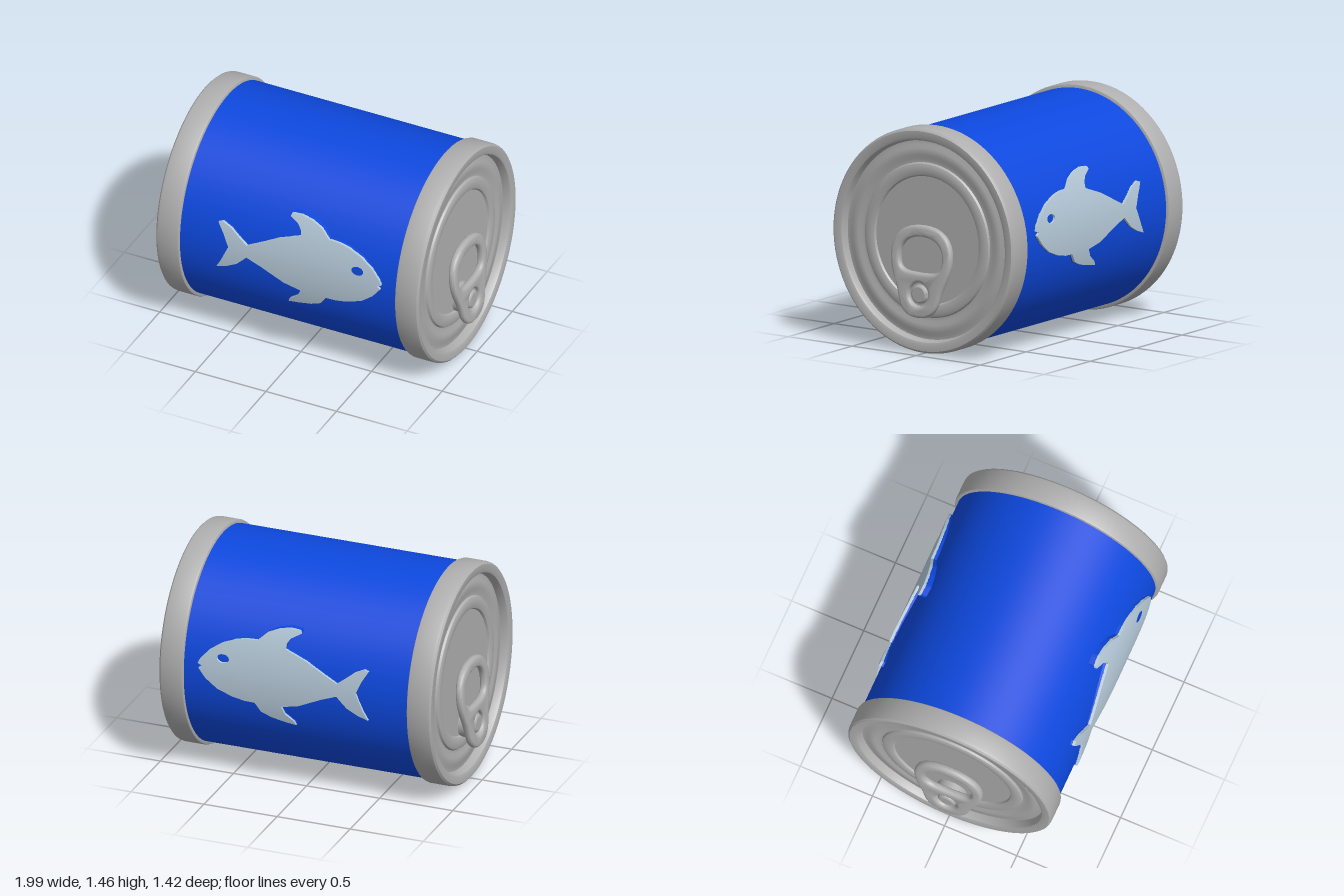
import * as THREE from 'three';
import { toCreasedNormals } from 'three/addons/utils/BufferGeometryUtils.js';

const CENTER_Y = 0.727; // height of the can's axis
const SQUASH = 0.972;   // the can is slightly narrower in z

const metal = new THREE.MeshStandardMaterial({ color: 0xb0afb0 });
metal.name = 'tin grey';
const label = new THREE.MeshStandardMaterial({ color: 0x0d48de });
label.name = 'label blue';
const silver = new THREE.MeshStandardMaterial({ color: 0xb5c9d8 });
silver.name = 'fish silver';

function makeMesh(name, geometry, material) {
  const mesh = new THREE.Mesh(geometry, material);
  mesh.name = name;
  return mesh;
}

const vectors = (list) => list.map(([a, b]) => new THREE.Vector2(a, b));

// Lathe whose axis lies along x; profile is [radius, x]
function latheX(profile, segments = 96) {
  const g = new THREE.LatheGeometry(vectors(profile), segments);
  g.rotateZ(-Math.PI / 2);
  return toCreasedNormals(g, 0.55);
}

// Closed symmetric outline from the right half, bottom to top
function symmetricPoints(half) {
  const right = half.getPoints(8);
  const left = right.slice(1, -1).reverse().map((p) => new THREE.Vector2(-p.x, p.y));
  return [...right, ...left];
}

// Pull tab, leaning away from the lid at its lower end
function tabGeometry() {
  const outer = new THREE.Path();
  outer.moveTo(0, 0.24);
  outer.bezierCurveTo(0.09, 0.24, 0.14, 0.28, 0.158, 0.37);
  outer.bezierCurveTo(0.18, 0.46, 0.235, 0.53, 0.235, 0.63);
  outer.bezierCurveTo(0.235, 0.76, 0.15, 0.83, 0, 0.83);
  const finger = new THREE.Path();
  finger.moveTo(0, 0.527);
  finger.lineTo(0.08, 0.53);
  finger.bezierCurveTo(0.14, 0.535, 0.165, 0.56, 0.165, 0.62);
  finger.bezierCurveTo(0.165, 0.71, 0.1, 0.757, 0, 0.757);

  const shape = new THREE.Shape(symmetricPoints(outer));
  shape.holes.push(new THREE.Path(symmetricPoints(finger)));
  shape.holes.push(new THREE.Path().absarc(0, 0.39, 0.075, 0, Math.PI * 2, true));
  const g = new THREE.ExtrudeGeometry(shape, {
    depth: 0.012, bevelThickness: 0.019, bevelSize: 0.022, bevelOffset: -0.022,
    bevelSegments: 4, curveSegments: 20,
  });
  g.rotateY(Math.PI / 2);
  const p = g.attributes.position;
  for (let i = 0; i < p.count; i++) {
    p.setX(i, p.getX(i) + 0.939 + (0.53 - p.getY(i)) * 0.1);
  }
  return toCreasedNormals(g, 0.8);
}

// Rim, stepped lid and pull tab for the +x end
function canEnd(name) {
  const end = new THREE.Group();
  end.name = name;

  const rim = latheX([
    [0.69, 0.765], [0.718, 0.765], [0.725, 0.769], [0.728, 0.778], [0.728, 0.9],
    [0.724, 0.918], [0.712, 0.929], [0.672, 0.929], [0.656, 0.922], [0.648, 0.905], [0.643, 0.87],
  ]);
  const lid = latheX([
    [0.646, 0.872], [0.62, 0.872], [0.595, 0.884], [0.55, 0.884], [0.525, 0.874],
    [0.502, 0.874], [0.494, 0.887], [0.478, 0.893], [0.438, 0.893], [0.42, 0.887],
    [0.412, 0.874], [0, 0.874],
  ]);
  for (const [part, g] of [['rim', rim], ['lid', lid]]) {
    g.scale(1, 1, SQUASH);
    g.translate(0, CENTER_Y, 0);
    end.add(makeMesh(part, g, metal));
  }

  end.add(makeMesh('pullTab', tabGeometry(), metal));

  // Dished seat and button holding the tab down
  const rivet = latheX([
    [0.1, 0.87], [0.1, 0.955], [0.062, 0.955], [0.058, 0.97], [0.048, 0.977], [0, 0.977],
  ], 40);
  rivet.translate(0, 0.39, 0);
  end.add(makeMesh('rivet', rivet, metal));
  return end;
}

// Fish outline, clockwise from the tail notch
const FISH = [
  [-0.415, 0.80], [-0.45, 0.88], [-0.495, 0.955], [-0.465, 0.965], [-0.40, 0.935],
  [-0.345, 0.89], [-0.285, 0.845], [-0.20, 0.888], [-0.07, 0.955], [0.08, 1.01],
  [0.075, 1.045], [0.05, 1.08], [-0.012, 1.115], [-0.005, 1.132], [0.06, 1.137],
  [0.14, 1.122], [0.215, 1.09], [0.275, 1.035], [0.345, 1.033], [0.42, 1.018],
  [0.515, 0.98], [0.595, 0.925], [0.65, 0.862], [0.665, 0.83], [0.635, 0.817],
  [0.66, 0.80], [0.61, 0.737], [0.53, 0.675], [0.425, 0.635], [0.345, 0.62],
  [0.275, 0.618], [0.235, 0.56], [0.165, 0.53], [0.07, 0.51], [0.0, 0.50],
  [0.01, 0.525], [0.07, 0.57], [0.095, 0.62], [-0.02, 0.645], [-0.18, 0.72],
  [-0.285, 0.76], [-0.355, 0.69], [-0.43, 0.65], [-0.50, 0.627], [-0.465, 0.69],
];

// Split every triangle into four so flat faces can be bent
function subdivide(positions) {
  const out = [];
  for (let i = 0; i < positions.length; i += 9) {
    const [a, b, c] = [0, 3, 6].map((k) => positions.slice(i + k, i + k + 3));
    const mid = (u, v) => u.map((n, k) => (n + v[k]) / 2);
    const ab = mid(a, b), bc = mid(b, c), ca = mid(c, a);
    out.push(...a, ...ab, ...ca, ...ab, ...b, ...bc, ...ca, ...bc, ...c, ...ab, ...bc, ...ca);
  }
  return out;
}

// Fish layer wrapped round the can; inset is its depth below the relief surface
function fishLayer(flip, depth, inset, withEye) {
  const shape = new THREE.Shape(vectors(FISH.map(([x, y]) => [x * flip, y])));
  if (withEye) {
    shape.holes.push(new THREE.Path().absellipse(0.495 * flip, 0.885, 0.042, 0.029, 0, Math.PI * 2, true));
  }
  const flat = new THREE.ExtrudeGeometry(shape, { depth, bevelEnabled: false, curveSegments: 8 });
  let positions = Array.from((flat.index ? flat.toNonIndexed() : flat).attributes.position.array);
  for (let level = 0; level < 3; level++) positions = subdivide(positions);
  for (let i = 0; i < positions.length; i += 3) {
    const dy = (positions[i + 1] - CENTER_Y) / 0.82;
    positions[i + 2] += 0.706 * Math.sqrt(1 - dy * dy) - inset - depth;
  }
  const g = new THREE.BufferGeometry();
  g.setAttribute('position', new THREE.Float32BufferAttribute(positions, 3));
  return toCreasedNormals(g, 0.6);
}

function fish(name, flip) {
  const group = new THREE.Group();
  group.name = name;
  group.add(makeMesh('fishRelief', fishLayer(flip, 0.018, 0, true), silver));
  group.add(makeMesh('fishBacking', fishLayer(flip, 0.045, 0.016, false), label));
  return group;
}

export function createModel() {
  const can = new THREE.Group();
  can.name = 'fishCan';

  // Wrapped body
  const body = latheX([[0.705, -0.78], [0.705, 0.78]], 128);
  body.scale(1, 1, SQUASH);
  body.translate(0, CENTER_Y, 0);
  can.add(makeMesh('labelBody', body, label));

  // Matching ends
  const leftEnd = canEnd('leftEnd');
  const rightEnd = canEnd('rightEnd');
  rightEnd.rotation.y = Math.PI;
  can.add(leftEnd, rightEnd);

  // Both fish face +x, so the rear one is drawn flipped before turning
  const frontFish = fish('frontFish', 1);
  const backFish = fish('backFish', -1);
  backFish.rotation.y = Math.PI;
  can.add(frontFish, backFish);
  return can;
}
